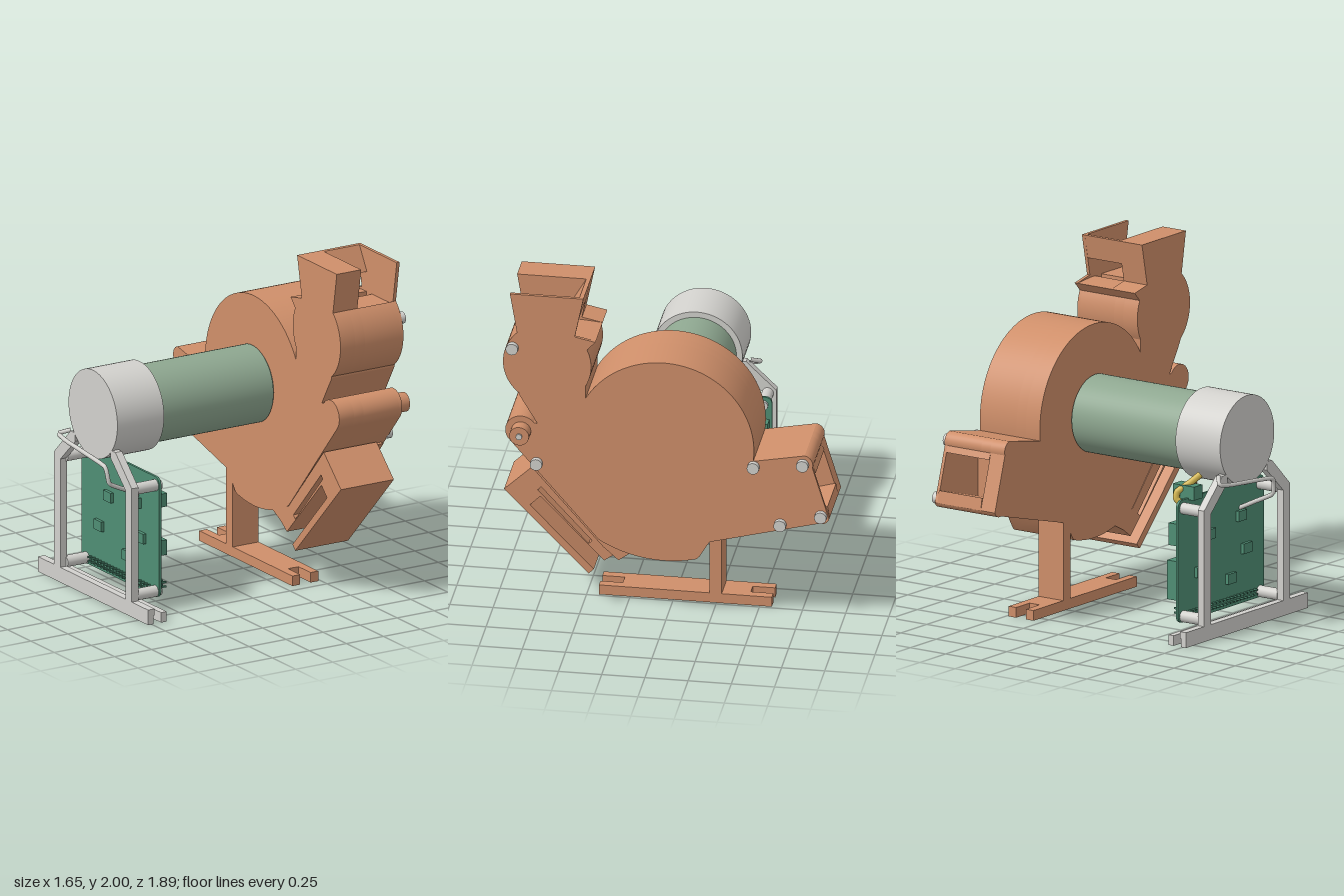
import * as THREE from 'three';
import { toCreasedNormals } from 'three/addons/utils/BufferGeometryUtils.js';

const material = (name, color) => {
  const m = new THREE.MeshStandardMaterial({ color });
  m.name = name;
  return m;
};

// points of an arc in the (z, y) plane, angles in degrees
function arc(cz, cy, r, from, to, n = 10) {
  return Array.from({ length: n + 1 }, (_, i) => {
    const a = THREE.MathUtils.degToRad(from + ((to - from) * i) / n);
    return [cz + r * Math.cos(a), cy + r * Math.sin(a)];
  });
}

export function createModel() {
  const group = new THREE.Group();
  const copper = material('copper', 0xcf8f6a);
  const sage = material('sage green', 0x8ea790);
  const silver = material('light grey', 0xd2d1cd);
  const board = material('circuit green', 0x4f8e74);
  const yellow = material('yellow', 0xd6b850);
  const axisZ = 0.015, axisY = 1.107;

  function add(name, geometry, mat, x = 0, y = 0, z = 0) {
    const mesh = new THREE.Mesh(geometry, mat);
    mesh.name = name;
    mesh.position.set(x, y, z);
    group.add(mesh);
    return mesh;
  }
  // box given by its limits
  const box = (name, mat, x0, x1, y0, y1, z0, z1) =>
    add(name, new THREE.BoxGeometry(x1 - x0, y1 - y0, z1 - z0), mat, (x0 + x1) / 2, (y0 + y1) / 2, (z0 + z1) / 2);
  // cylinder lying along x
  const rod = (name, mat, x0, x1, r, y, z, sides = 24) =>
    add(name, new THREE.CylinderGeometry(r, r, x1 - x0, sides).rotateZ(-Math.PI / 2), mat, (x0 + x1) / 2, y, z);
  // (z, y) outline extruded from x0 to x1
  function slab(name, mat, x0, x1, points, holes = []) {
    const flat = (list) => list.map(([z, y]) => new THREE.Vector2(-z, y));
    const shape = new THREE.Shape(flat(points));
    holes.forEach((h) => shape.holes.push(new THREE.Path(flat(h))));
    const geo = new THREE.ExtrudeGeometry(shape, { depth: x1 - x0, bevelEnabled: false }).rotateY(Math.PI / 2);
    return add(name, toCreasedNormals(geo, 0.4), mat, x0, 0, 0);
  }
  const tube = (name, mat, r, points) => add(name, new THREE.TubeGeometry(
    new THREE.CatmullRomCurve3(points.map((p) => new THREE.Vector3(...p)), false, 'catmullrom', 0.2), 48, r, 8), mat);

  // housing, built in layers across x so the spout and the hopper are hollow
  function housing(spoutOpen, hopperOpen) {
    return [
      ...(hopperOpen
        ? [[0.86, 1.74], [0.64, 1.74], [0.64, 1.55], [0.58, 1.55], [0.58, 1.74], [0.535, 1.74]]
        : [[0.905, 2], [0.48, 2], [0.53, 1.755]]),
      [0.41, 1.73],
      ...arc(0.69, 1.57, 0.255, 155, 209),
      ...arc(axisZ, 1.108, 0.522, 30, 187, 48),
      ...arc(-0.79, 1.045, 0.058, 100, 198),
      ...(spoutOpen ? [[-0.862, 0.99], [-0.55, 0.97], [-0.55, 0.67], [-0.93, 0.78]] : []),
      ...arc(-0.895, 0.725, 0.05, 200, 285),
      [-0.25, 0.51], [-0.19, 0.41],
      ...arc(axisZ, 1.1, 0.73, 255, 301, 20),
      ...arc(0.84, 1.135, 0.092, -42, 143, 20),
      [0.745, 1.185], [0.85, 1.36],
      ...arc(0.69, 1.57, 0.255, -51, 47, 20),
    ];
  }
  slab('housingInner', copper, 0.31, 0.41, housing(false, false));
  slab('housingSpoutSide', copper, 0.41, 0.475, housing(true, false));
  slab('housingMiddle', copper, 0.475, 0.715, housing(true, true));
  slab('housingCover', copper, 0.715, 0.735, housing(false, false));
  slab('hopperBackWall', copper, 0.475, 0.715, [[0.48, 2], [0.505, 2], [0.585, 1.86], [0.56, 1.86], [0.51, 1.86]]);

  // cover screws and pivot boss
  for (const [z, y] of [[0.89, 1.66], [0.75, 0.935], [-0.505, 1.01], [-0.79, 1.045], [-0.895, 0.725], [-0.66, 0.655]])
    rod('coverScrew', silver, 0.73, 0.765, 0.035, y, z);
  rod('pivotBoss', copper, 0.73, 0.81, 0.057, 1.133, 0.84);
  rod('pivotPin', silver, 0.73, 0.822, 0.018, 1.133, 0.84);

  // slanted slotted tray under the housing
  slab('tray', copper, 0.31, 0.667,
    [[0.765, 0.895], [0.95, 0.72], [0.46, 0.22], [0.43, 0.25], [0.8, 0.63], [0.74, 0.69], [0.37, 0.31], [0.3, 0.36], [0.22, 0.4], [0.39, 0.47]],
    [[[0.755, 0.73], [0.735, 0.75], [0.44, 0.43], [0.46, 0.41]]]);
  slab('trayRail', copper, 0.66, 0.712, [[0.77, 0.88], [0.37, 0.42], [0.28, 0.34], [0.2, 0.4], [0.38, 0.5], [0.72, 0.88]]);

  // ribbed plug through the tray
  const plug = new THREE.Group();
  plug.name = 'ribbedPlug';
  for (let i = 0; i < 6; i++) {
    const rib = new THREE.Mesh(new THREE.CylinderGeometry(0.058, 0.058, 0.018, 20), copper);
    rib.name = 'plugRib';
    rib.position.y = -0.08 + i * 0.032;
    plug.add(rib);
  }
  const core = new THREE.Mesh(new THREE.CylinderGeometry(0.045, 0.045, 0.22, 20), copper);
  core.name = 'plugCore';
  plug.add(core);
  plug.position.set(0.56, 0.42, 0.41);
  plug.rotation.x = 0.73;
  group.add(plug);

  // feet with forked ends
  function foot(name, mat, x0, x1, z0, z1, height, prong) {
    const w = (x1 - x0) * 0.3;
    box(name, mat, x0, x1, 0, height, z0 + prong, z1 - prong);
    for (const [a, b] of [[z0, z0 + prong], [z1 - prong, z1]])
      for (const x of [x0, x1 - w]) box(name + 'Prong', mat, x, x + w, 0, height, a, b);
  }
  foot('housingFoot', copper, 0.31, 0.485, -0.57, 0.43, 0.06, 0.13);
  box('housingPost', copper, 0.31, 0.485, 0.05, 0.55, -0.28, -0.21);
  foot('motorFoot', silver, -0.775, -0.65, -0.575, 0.605, 0.06, 0.13);
  box('motorFootRidge', silver, -0.775, -0.73, 0.05, 0.09, -0.575, 0.605);

  // motor and end cap
  rod('motorBody', sage, -0.47, 0.3, 0.228, axisY, axisZ, 64);
  rod('motorFlange', sage, 0.29, 0.315, 0.215, axisY, axisZ, 64);
  rod('motorCap', silver, -0.775, -0.46, 0.262, axisY, axisZ, 64);

  // upright frame carrying the cap
  for (const s of [-1, 1]) {
    slab('framePost', silver, -0.775, -0.73, [[0.415, 0.05], [0.415, 0.77], [0.24, 0.94], [0.19, 0.94], [0.19, 0.89], [0.35, 0.74], [0.35, 0.05]]
      .map(([z, y]) => [axisZ + s * z, y]));
    // standoffs with screw heads
    for (const y of [0.115, 0.75]) {
      const z = 0.02 + s * 0.37;
      rod('standoff', silver, -0.735, -0.59, 0.034, y, z);
      rod('boardScrew', silver, -0.58, -0.558, 0.028, y, z);
    }
  }

  // circuit board with rounded corners
  const corners = [[0.39, 0.76, 0], [-0.36, 0.76, 90], [-0.36, 0.12, 180], [0.39, 0.12, 270]];
  slab('circuitBoard', board, -0.59, -0.575, corners.flatMap(([z, y, a]) => arc(z, y, 0.04, a, a + 90, 5)));
  // x reach, then y and z limits of each component
  const parts = [
    [-0.5, 0.21, 0.44, -0.385, -0.065], [-0.53, 0.2, 0.27, 0.19, 0.32], [-0.54, 0.31, 0.4, 0.05, 0.17],
    [-0.53, 0.45, 0.58, 0.1, 0.24], [-0.51, 0.53, 0.66, -0.385, -0.27], [-0.53, 0.62, 0.7, 0.28, 0.42],
    [-0.53, 0.33, 0.42, 0.3, 0.42], [-0.54, 0.64, 0.73, -0.12, 0.12], [-0.52, 0.72, 0.8, -0.28, -0.14],
  ];
  for (const [x, y0, y1, z0, z1] of parts) box('component', board, -0.58, x, y0, y1, z0, z1);
  rod('capacitor', board, -0.58, -0.442, 0.062, 0.525, -0.12);
  box('pinHeader', board, -0.58, -0.54, 0.095, 0.15, -0.31, 0.35);
  for (let i = 0; i < 20; i++)
    for (const y of [0.11, 0.136]) box('headerPin', board, -0.615, -0.485, y - 0.005, y + 0.005, 0.33 - i * 0.033, 0.34 - i * 0.033);
  for (const [y, z] of [[0.6, 0.2], [0.55, -0.1], [0.4, 0.25], [0.35, -0.2], [0.25, 0.1]])
    box('rearChip', board, -0.61, -0.58, y - 0.03, y + 0.03, z - 0.04, z + 0.04);

  // motor terminals and leads
  box('terminal', board, -0.63, -0.48, 0.79, 0.87, -0.3, -0.22);
  tube('yellowLead', yellow, 0.02, [[-0.57, 0.74, -0.3], [-0.52, 0.79, -0.32], [-0.52, 0.83, -0.31], [-0.57, 0.88, -0.25], [-0.6, 0.92, -0.2]]);
  tube('copperLead', copper, 0.016, [[-0.57, 0.76, -0.22], [-0.51, 0.81, -0.24], [-0.57, 0.88, -0.2]]);
  tube('greyLead', silver, 0.013, [
    [-0.58, 0.64, 0.2], [-0.68, 0.69, 0.22], [-0.8, 0.75, 0.23], [-0.815, 0.85, 0.2],
    [-0.815, 0.89, -0.2], [-0.81, 0.91, -0.3], [-0.76, 0.94, -0.24],
  ]);
  return group;
}
